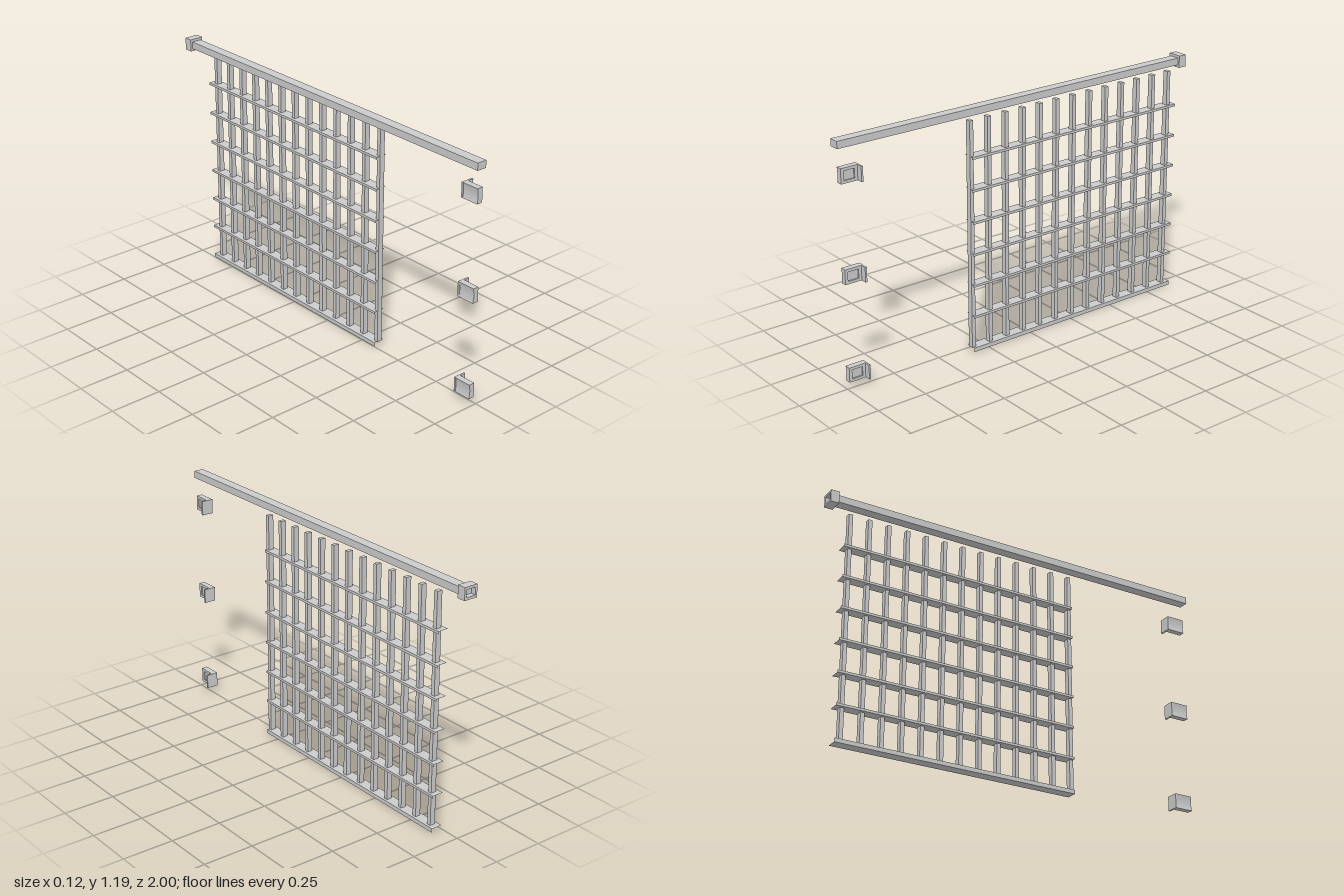
import * as THREE from 'three';
import { mergeGeometries } from 'three/addons/utils/BufferGeometryUtils.js';

const material = new THREE.MeshStandardMaterial({ color: 0xcccccc, flatShading: true });

function add(parent, name, geometry) {
  const mesh = new THREE.Mesh(geometry, material);
  mesh.name = name;
  parent.add(mesh);
  return mesh;
}

// Box given by its min and max on each axis
function box(x0, x1, y0, y1, z0, z1) {
  return new THREE.BoxGeometry(x1 - x0, y1 - y0, z1 - z0)
    .translate((x0 + x1) / 2, (y0 + y1) / 2, (z0 + z1) / 2);
}

// Rectangular tube along z, open at both ends
function openBar(x0, x1, y0, y1, z0, z1) {
  const g = box(x0, x1, y0, y1, z0, z1);
  g.setIndex(Array.from(g.index.array).slice(0, 24));
  g.clearGroups();
  return g;
}

// Centred rectangular ring extruded along z
function ring(w, h, holeW, holeH, depth) {
  const rect = (path, a, b) => path.moveTo(-a / 2, -b / 2).lineTo(a / 2, -b / 2)
    .lineTo(a / 2, b / 2).lineTo(-a / 2, b / 2).closePath();
  const shape = rect(new THREE.Shape(), w, h);
  shape.holes.push(rect(new THREE.Path(), holeW, holeH));
  return new THREE.ExtrudeGeometry(shape, { depth, bevelEnabled: false });
}

// Wall bracket: hollowed-back block, raised rim and a thin flange
function bracketGeometry() {
  const h = 0.036;
  const profile = new THREE.Shape();
  profile.moveTo(-0.03, -h).lineTo(-0.007, -h).lineTo(-0.007, h).lineTo(-0.03, h);
  profile.quadraticCurveTo(-0.021, 0, -0.03, -h);
  const block = new THREE.ExtrudeGeometry(profile, { depth: 0.085, bevelEnabled: false, curveSegments: 8 })
    .translate(0, 0, 0.902);
  const rim = ring(0.085, 2 * h, 0.055, 0.045, 0.007)
    .rotateY(Math.PI / 2).translate(-0.007, 0, 0.9445);
  const flange = box(-0.03, 0.03, -h, h, 0.893, 0.902).toNonIndexed();
  return mergeGeometries([block, rim, flange]);
}

export function createModel() {
  const model = new THREE.Group();
  model.name = 'slidingGrilleGate';

  // Top rail and its hollow end collar
  add(model, 'topRail', box(-0.049, 0.001, 1.145, 1.18, -0.975, 1));
  add(model, 'railEndCollar', ring(0.07, 0.06, 0.05, 0.035, 0.042).translate(-0.024, 1.1625, -1));

  // Grille of upright bars crossed by wider flat bars
  const grille = new THREE.Group();
  grille.name = 'grille';
  model.add(grille);
  for (let i = 0; i < 13; i++) {
    const z = 0.328 - i * 0.099;
    add(grille, 'uprightBar', box(0.017, 0.044, 0.022, 1.142, z - 0.01, z + 0.01));
  }
  for (let i = 0; i < 6; i++) {
    const y = 0.181 + i * 0.157;
    add(grille, 'crossBar', openBar(0.002, 0.056, y - 0.006, y + 0.006, -0.897, 0.335));
  }
  add(grille, 'bottomBar', openBar(0.002, 0.056, 0.003, 0.023, -0.897, 0.335));

  // Three brackets below the free end of the rail
  const bracket = bracketGeometry();
  for (const y of [0.068, 0.547, 1.018]) add(model, 'bracket', bracket).position.y = y;

  return model;
}
